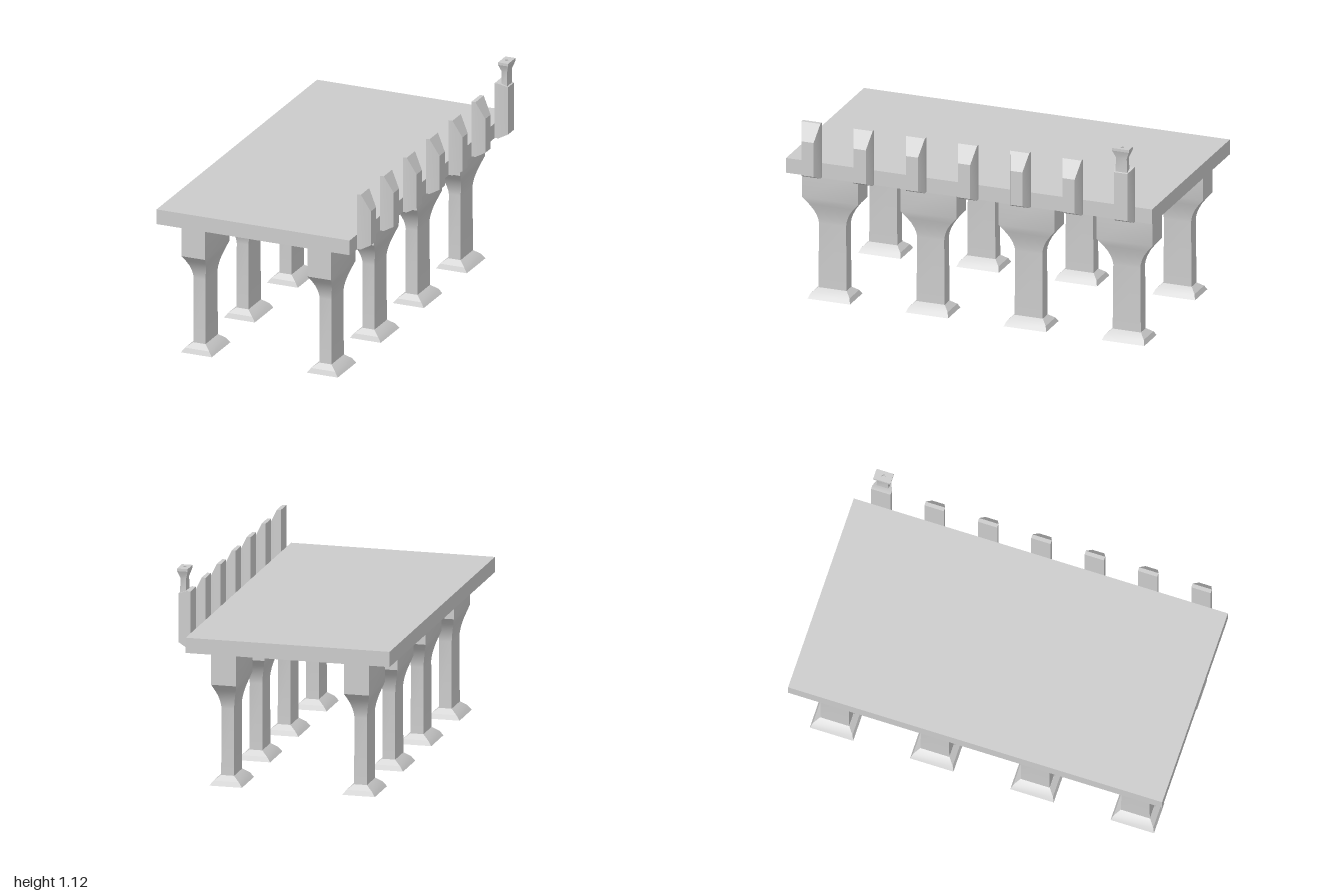
import * as THREE from 'three';
import { toCreasedNormals } from 'three/addons/utils/BufferGeometryUtils.js';

const material = new THREE.MeshStandardMaterial({ color: 0xcccccc });

// Skin a closed solid through four-cornered rings (counterclockwise seen from the last ring)
function loft(rings) {
  const index = [];
  const quad = (a, b, c, d) => index.push(a, b, c, a, c, d);
  quad(3, 2, 1, 0);
  for (let r = 0; r < rings.length - 1; r++) {
    for (let i = 0; i < 4; i++) {
      const j = (i + 1) % 4;
      quad(r * 4 + i, r * 4 + j, r * 4 + 4 + j, r * 4 + 4 + i);
    }
  }
  const e = (rings.length - 1) * 4;
  quad(e, e + 1, e + 2, e + 3);
  const g = new THREE.BufferGeometry();
  g.setAttribute('position', new THREE.Float32BufferAttribute(rings.flat(2), 3));
  g.setIndex(index);
  return toCreasedNormals(g, 0.45);
}

// Rectangular rings stacked upward: [y, half x, half z]
const upward = (profile) => loft(profile.map(([y, a, b]) =>
  [[a, y, b], [a, y, -b], [-a, y, -b], [-a, y, b]]));

// Rectangular rings stacked outward: [x, low y, high y, half z]
const outward = (profile) => loft(profile.map(([x, lo, hi, w]) =>
  [[x, lo, -w], [x, hi, -w], [x, hi, w], [x, lo, w]]));

function add(parent, name, geometry, x = 0, y = 0, z = 0) {
  const mesh = new THREE.Mesh(geometry, material);
  mesh.name = name;
  mesh.position.set(x, y, z);
  parent.add(mesh);
  return mesh;
}

export function createModel() {
  const model = new THREE.Group();
  model.name = 'pier';

  // Flat deck slab
  add(model, 'deck', new THREE.BoxGeometry(1.075, 0.08, 2), -0.0375, 0.75, 0);

  // Eight pillars: splayed foot, slim shaft, curved flare and block head
  const foot = upward([[0, 0.086, 0.116], [0.025, 0.067, 0.106], [0.05, 0.034, 0.078]]);
  const shaft = upward([
    [0.05, 0.034, 0.077], [0.4, 0.033, 0.074], [0.42, 0.035, 0.077], [0.445, 0.039, 0.085],
    [0.475, 0.046, 0.1], [0.505, 0.055, 0.122], [0.54, 0.066, 0.153], [0.711, 0.066, 0.153],
  ]);
  for (const x of [-0.388, 0.313]) {
    for (let i = 0; i < 4; i++) {
      const pillar = new THREE.Group();
      pillar.name = 'pillar';
      pillar.position.set(x, 0, 0.807 - i * 0.536);
      add(pillar, 'pillarFoot', foot);
      add(pillar, 'pillarShaft', shaft);
      model.add(pillar);
    }
  }

  // Row of bevelled fender posts on the left edge; the rear one is taller on its outer face
  const post = outward([[0.5, 0.712, 1.01, 0.052], [0.521, 0.712, 1.01, 0.052], [0.568, 0.735, 0.92, 0.033]]);
  const endPost = outward([[0.5, 0.712, 1.01, 0.052], [0.521, 0.712, 1.01, 0.052], [0.568, 0.735, 0.992, 0.036]]);
  for (let i = 0; i < 7; i++) {
    add(model, i === 6 ? 'endPost' : 'fenderPost', i === 6 ? endPost : post, 0, 0, 0.856 - i * 0.2853);
  }

  // Flared finial with a small diamond recess on its top plate
  const finial = new THREE.Group();
  finial.name = 'finial';
  finial.position.set(0.545, 0, -0.856);
  add(finial, 'finialStem', upward([[0.98, 0.016, 0.033], [1.07, 0.015, 0.029], [1.11, 0.028, 0.046]]));
  const plate = new THREE.Shape([[-0.028, -0.046], [0.028, -0.046], [0.028, 0.046], [-0.028, 0.046]]
    .map(([x, y]) => new THREE.Vector2(x, y)));
  plate.holes.push(new THREE.Path([[0.012, 0], [0, -0.012], [-0.012, 0], [0, 0.012]]
    .map(([x, y]) => new THREE.Vector2(x, y))));
  add(finial, 'finialPlate', new THREE.ExtrudeGeometry(plate, { depth: 0.014, bevelEnabled: false })
    .rotateX(-Math.PI / 2), 0, 1.11, 0);
  model.add(finial);

  return model;
}
